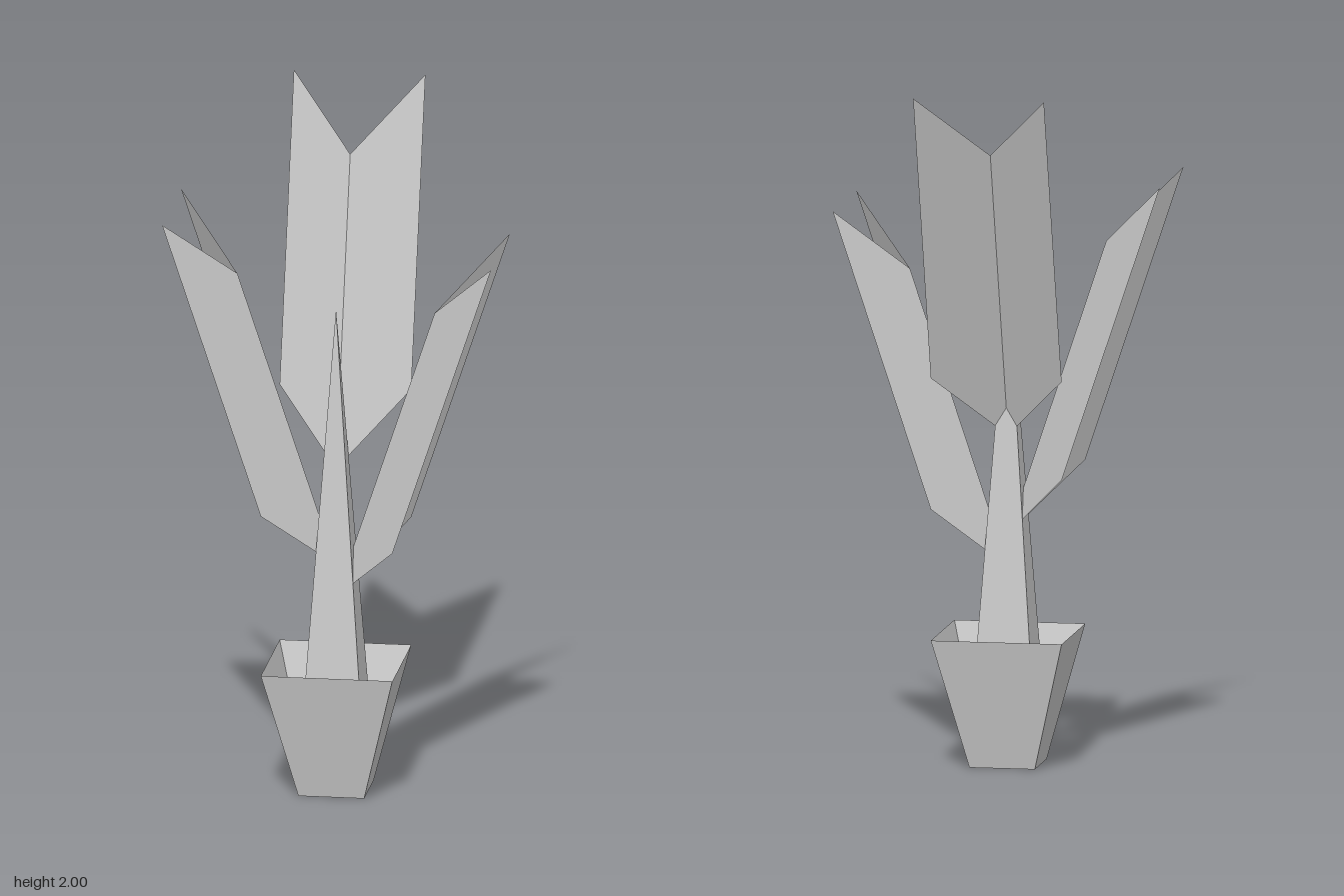
import * as THREE from 'three';

const U = 2 / 21; // modelling unit

const material = new THREE.MeshStandardMaterial({
  color: 0xcccccc, flatShading: true, side: THREE.DoubleSide,
});

// Square open tapered tube; half-widths in units, standing on y = base
function squareTaper(name, topHalf, bottomHalf, base, height) {
  const geo = new THREE.CylinderGeometry(
    topHalf * Math.SQRT2 * U, bottomHalf * Math.SQRT2 * U, height * U, 4, 1, true);
  geo.rotateY(Math.PI / 4);
  geo.translate(0, (base + height / 2) * U, 0);
  const mesh = new THREE.Mesh(geo, material);
  mesh.name = name;
  return mesh;
}

// Leaf folded along its spine, leaning towards -z before being turned
function leaf(name, base, angle) {
  const positions = [], rise = 9, lean = -3, wing = 2;
  for (const side of [-1, 1]) {
    const spineLow = [0, 0, 0], spineTop = [0, rise, lean];
    const edgeLow = [side * wing, wing, -wing];
    const edgeTop = [side * wing, rise + wing, lean - wing];
    const quad = side > 0
      ? [spineLow, edgeLow, edgeTop, spineLow, edgeTop, spineTop]
      : [spineLow, edgeTop, edgeLow, spineLow, spineTop, edgeTop];
    positions.push(...quad.flat().map((v) => v * U));
  }
  const geo = new THREE.BufferGeometry();
  geo.setAttribute('position', new THREE.Float32BufferAttribute(positions, 3));
  geo.computeVertexNormals();
  const mesh = new THREE.Mesh(geo, material);
  mesh.name = name;
  mesh.position.y = base * U;
  mesh.rotation.y = angle;
  return mesh;
}

export function createModel() {
  const plant = new THREE.Group();
  plant.name = 'pottedPlant';

  // Open pot and the pointed stem inside it
  plant.add(squareTaper('pot', 2, 1, 0, 4));
  plant.add(squareTaper('stem', 0, 1, 1, 14));

  // Three leaves growing from the stem at rising heights
  plant.add(leaf('leftLeaf', 6, -Math.PI / 2));
  plant.add(leaf('rightLeaf', 7, Math.PI / 2));
  plant.add(leaf('backLeaf', 10, 0));

  // Centre the whole plant in depth
  plant.position.z = 1.5 * U;
  const model = new THREE.Group();
  model.add(plant);
  return model;
}
